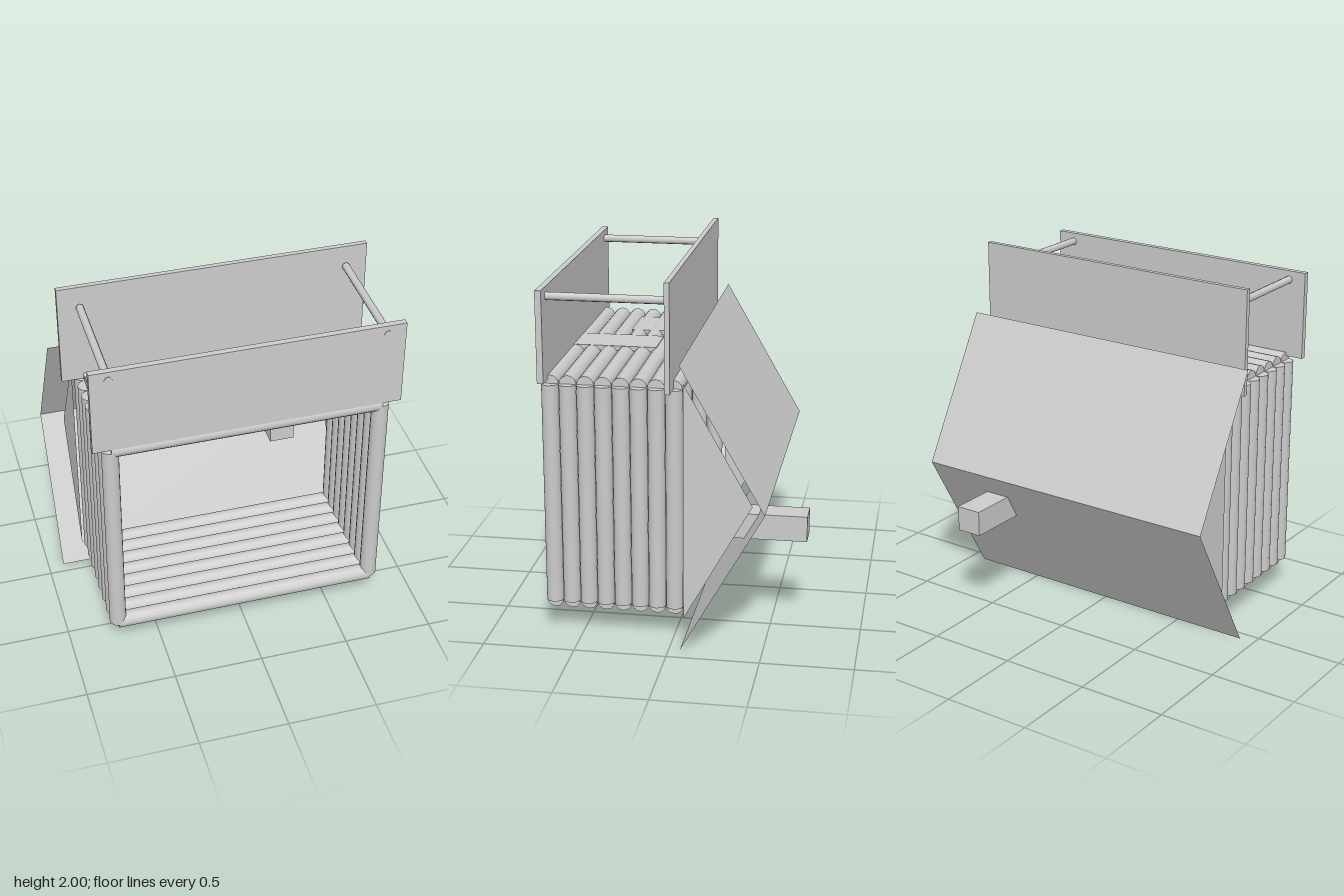
import * as THREE from 'three';

export function createModel() {
  const model = new THREE.Group();
  const grey = new THREE.MeshStandardMaterial({ color: 0xcccccc });
  grey.name = 'plainGrey';
  grey.side = THREE.DoubleSide;

  const add = (name, geometry, x = 0, y = 0, z = 0, parent = model) => {
    const mesh = new THREE.Mesh(geometry, grey);
    mesh.name = name;
    mesh.position.set(x, y, z);
    parent.add(mesh);
    return mesh;
  };

  // Box given by its minimum and maximum corners
  const box = (name, [x0, y0, z0], [x1, y1, z1]) =>
    add(name, new THREE.BoxGeometry(x1 - x0, y1 - y0, z1 - z0),
      (x0 + x1) / 2, (y0 + y1) / 2, (z0 + z1) / 2);

  // Eight square log frames, one behind the other
  const radius = 0.047, halfWidth = 0.74, low = 0.178, high = 1.408;
  const post = new THREE.CylinderGeometry(radius, radius, high - low, 12);
  const rail = new THREE.CylinderGeometry(radius, radius, halfWidth * 2, 12).rotateZ(Math.PI / 2);
  for (let i = 0; i < 8; i++) {
    const frame = new THREE.Group();
    frame.name = 'logFrame';
    frame.position.z = -0.004 + i * 0.0946;
    for (const side of [-1, 1]) add('logPost', post, side * halfWidth, (low + high) / 2, 0, frame);
    for (const y of [low, high]) add('logRail', rail, 0, y, 0, frame);
    model.add(frame);
  }

  // Upright boards and the two rods joining them
  box('frontBoard', [-0.84, 1.432, 0.668], [0.84, 1.93, 0.702]);
  box('backBoard', [-0.86, 1.41, -0.003], [0.86, 2, 0.025]);
  const rod = new THREE.CylinderGeometry(0.022, 0.022, 0.67, 8).rotateX(Math.PI / 2);
  for (const side of [-1, 1]) add('connectingRod', rod, side * halfWidth, 1.88, 0.37);

  // Panels let into the top logs
  box('doorPanel', [-0.125, 1.428, 0.2], [0.125, 1.455, 0.698]);
  box('windowPanel', [-0.57, 1.41, 0.145], [-0.27, 1.447, 0.415]);

  // Open roof: two sheets meeting at the ridge
  const ridgeY = 0.795, ridgeZ = -0.51, eaveZ = -0.06;
  for (const eaveY of [1.585, 0]) {
    const dy = eaveY - ridgeY, dz = eaveZ - ridgeZ;
    const sheet = add('roofSheet', new THREE.PlaneGeometry(1.826, Math.hypot(dy, dz)),
      0, (eaveY + ridgeY) / 2, (eaveZ + ridgeZ) / 2);
    sheet.rotation.x = Math.atan2(dz, dy);
    // outward normals point to the back
    if (dy > 0) sheet.geometry.rotateY(Math.PI);
    else sheet.geometry.rotateX(Math.PI);
  }

  // Triangular gables below the sheets
  const triangle = new THREE.Shape([
    new THREE.Vector2(0.06, 0.13), new THREE.Vector2(0.43, 0.795), new THREE.Vector2(0.06, 1.455),
  ]);
  for (const side of [-1, 1]) {
    const gable = add('gable', new THREE.ShapeGeometry(triangle), side * 0.79);
    gable.rotation.y = Math.PI / 2;
  }

  // Chimney passing through the lower sheet
  box('chimney', [0.418, 0.525, -0.7], [0.565, 0.668, -0.22]);

  return model;
}
